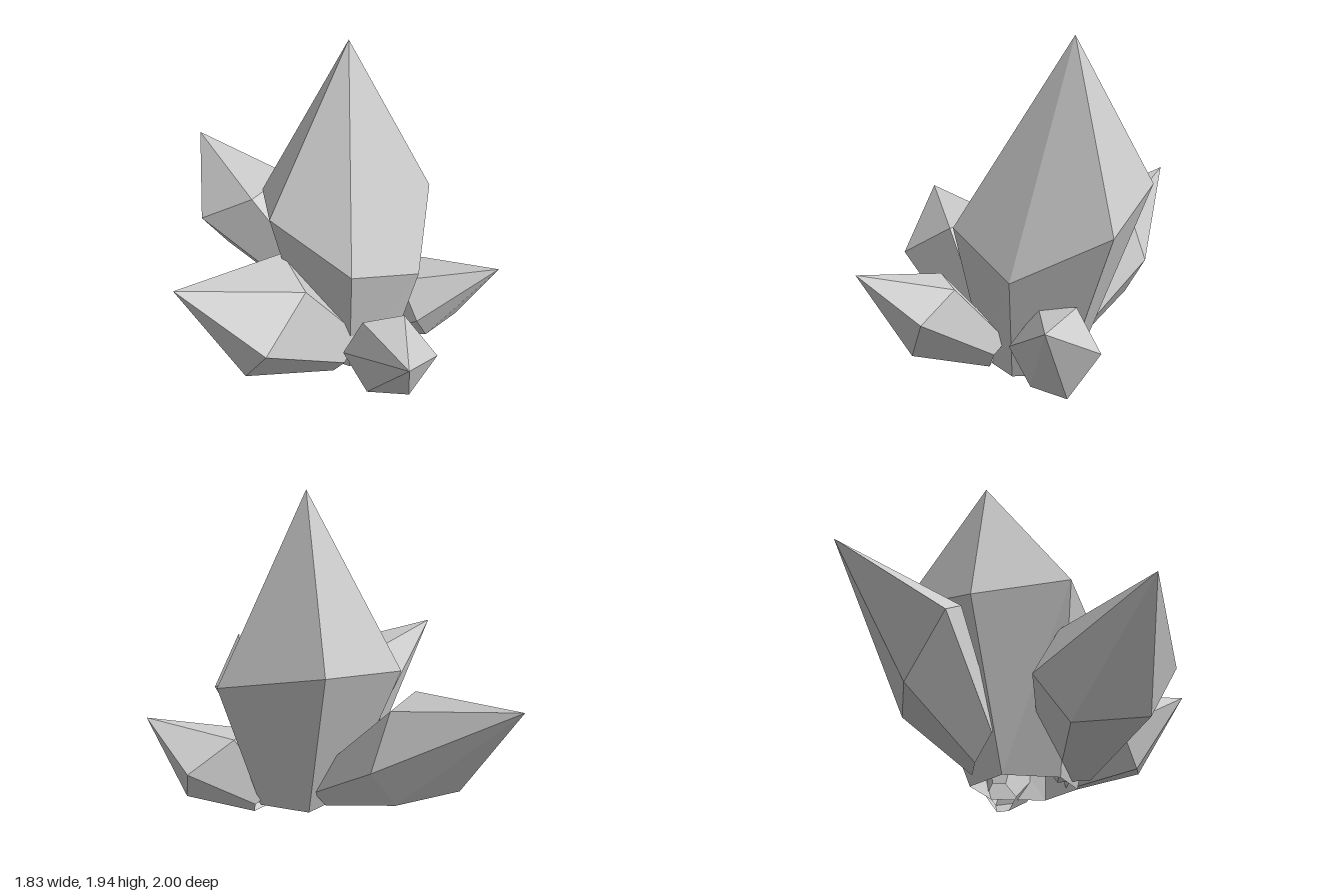
import * as THREE from 'three';

const vec = (p) => new THREE.Vector3(...p);
const centre = (pts) => pts.reduce((s, p) => s.add(p), new THREE.Vector3()).divideScalar(pts.length);

// A crystal: a point, a six-cornered shoulder and a narrower six-cornered open foot.
function crystalGeometry(tipPoint, shoulderPoints, footPoints) {
  const tip = vec(tipPoint);
  const ring = shoulderPoints.map(vec);
  const foot = footPoints.map(vec);
  const mid = centre(ring);
  const n = ring.length;

  // Run the rings anticlockwise as seen from the point
  const turn = new THREE.Vector3();
  const axis = tip.clone().sub(centre(foot));
  for (let i = 0; i < n; i++) {
    turn.add(ring[i].clone().sub(mid).cross(ring[(i + 1) % n].clone().sub(mid)));
  }
  if (turn.dot(axis) < 0) {
    ring.reverse();
    foot.reverse();
  }

  const corners = [];
  for (let i = 0; i < n; i++) {
    const j = (i + 1) % n;
    corners.push(ring[i], ring[j], tip); // pointed top
    corners.push(foot[i], foot[j], ring[j], foot[i], ring[j], ring[i]); // flared side
  }
  const geometry = new THREE.BufferGeometry().setFromPoints(corners);
  geometry.computeVertexNormals();
  return geometry;
}

// Foot of a side crystal: its shoulder shrunk and moved down to the root
function shrunkFoot(shoulder, root, scale) {
  const mid = centre(shoulder.map(vec));
  return shoulder.map((p) => vec(p).sub(mid).multiplyScalar(scale).add(vec(root)).toArray());
}

const sideCrystals = [
  {
    name: 'frontRightCrystal',
    tip: [-0.915, 0.9, 0.53],
    root: [-0.01, 0.22, 0.26],
    footScale: 0.45,
    shoulder: [
      [-0.23, 0.805, 0.47], [-0.45, 0.6, 0.74], [-0.58, 0.285, 0.55],
      [-0.5, 0.265, 0.17], [-0.45, 0.53, -0.01], [-0.35, 0.83, 0.15],
    ],
  },
  {
    name: 'backRightCrystal',
    tip: [-0.87, 0.98, -1],
    root: [-0.12, 0.24, -0.24],
    footScale: 0.45,
    shoulder: [
      [-0.855, 0.66, -0.47], [-0.53, 0.845, -0.38], [-0.31, 0.865, -0.63],
      [-0.19, 0.56, -0.715], [-0.36, 0.3, -0.64], [-0.72, 0.345, -0.64],
    ],
  },
  {
    name: 'frontCrystal',
    tip: [0.26, 0.715, 1],
    root: [0.165, 0.19, 0.24],
    footScale: 0.42,
    shoulder: [
      [0.305, 0.62, 0.48], [0.07, 0.635, 0.54], [-0.035, 0.42, 0.54],
      [0.09, 0.22, 0.65], [0.315, 0.255, 0.72], [0.465, 0.49, 0.67],
    ],
  },
  {
    name: 'leftCrystal',
    tip: [0.915, 0.6, 0.09],
    root: [0.265, 0.08, -0.08],
    footScale: 0.35,
    shoulder: [
      [0.445, 0.535, -0.16], [0.34, 0.5, 0.03], [0.425, 0.325, 0.205],
      [0.505, 0.12, 0.1], [0.72, 0.145, -0.06], [0.72, 0.385, -0.235],
    ],
  },
];

export function createModel() {
  const group = new THREE.Group();
  group.name = 'crystalCluster';
  const material = new THREE.MeshStandardMaterial({
    color: 0xcccccc, flatShading: true, side: THREE.DoubleSide,
  });
  const add = (name, geometry) => {
    const mesh = new THREE.Mesh(geometry, material);
    mesh.name = name;
    group.add(mesh);
  };

  // Tall central crystal on a level foot
  const y = 0.075;
  add('mainCrystal', crystalGeometry(
    [0.045, 1.94, -0.215],
    [
      [0.045, 1.1, -0.68], [0.545, 0.94, -0.33], [0.42, 0.68, 0.2],
      [0.015, 0.88, 0.465], [-0.41, 1.1, 0.21], [-0.46, 0.95, -0.33],
    ],
    [
      [0.04, y, -0.27], [0.3, y, -0.13], [0.28, y, 0.17],
      [0.02, y, 0.3], [-0.2, y, 0.17], [-0.21, y, -0.13],
    ],
  ));

  // Smaller crystals leaning outwards around it
  for (const { name, tip, root, footScale, shoulder } of sideCrystals) {
    add(name, crystalGeometry(tip, shoulder, shrunkFoot(shoulder, root, footScale)));
  }
  return group;
}
